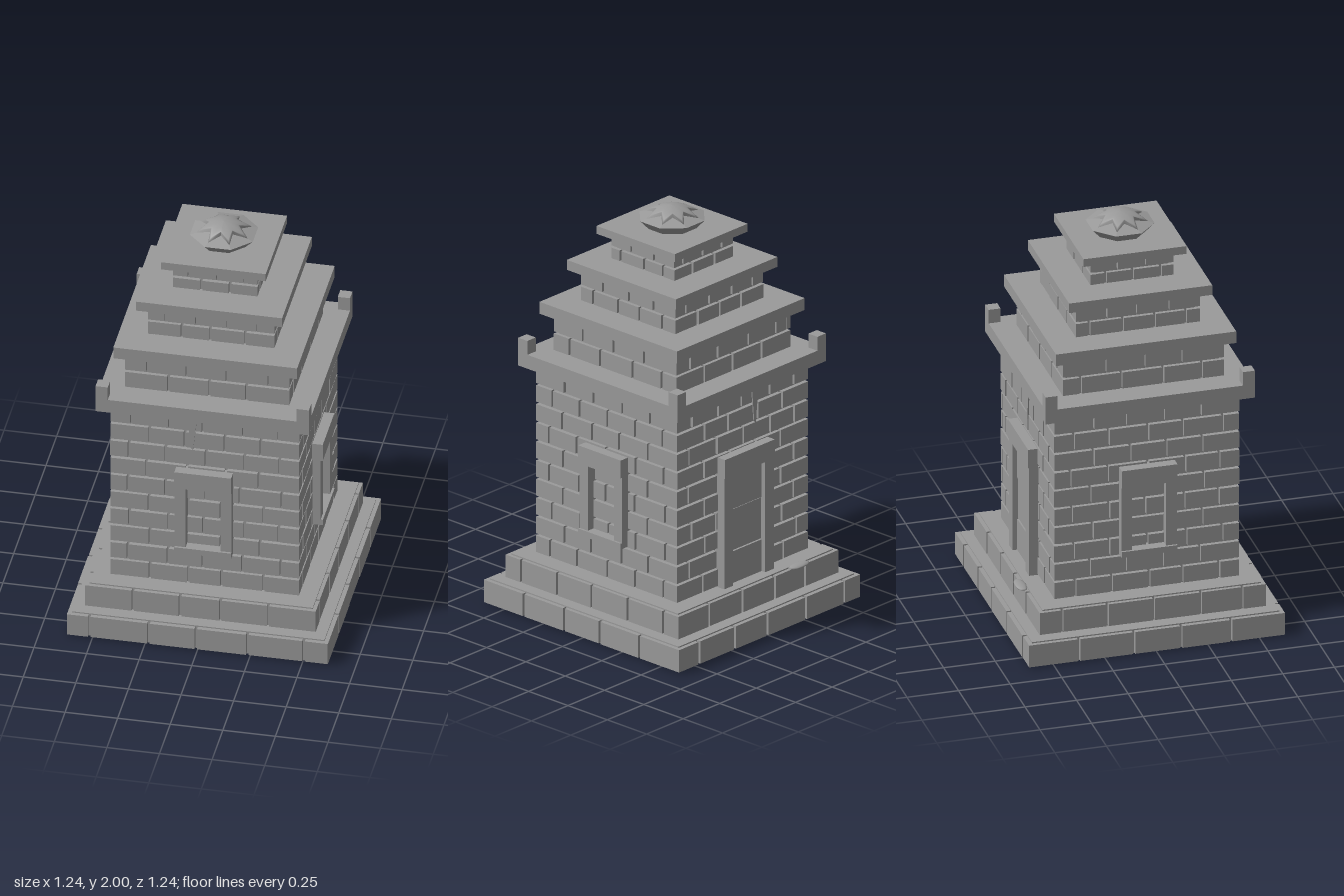
import * as THREE from 'three';
import { mergeGeometries } from 'three/addons/utils/BufferGeometryUtils.js';

const stone = new THREE.MeshStandardMaterial({ color: 0x9a9a9a });
stone.name = 'grey stone';

// small seeded generator for uneven masonry
let seed = 7;
const rnd = () => {
  seed = (seed * 16807) % 2147483647;
  return seed / 2147483647 - 0.5;
};

function add(parent, name, geometry) {
  const mesh = new THREE.Mesh(geometry, stone);
  mesh.name = name;
  parent.add(mesh);
  return mesh;
}

// box given by its limits
function span(x0, x1, y0, y1, z0, z1) {
  return new THREE.BoxGeometry(x1 - x0, y1 - y0, z1 - z0)
    .translate((x0 + x1) / 2, (y0 + y1) / 2, (z0 + z1) / 2);
}

// square block faced with courses of bricks on all four sides
function masonry(parent, name, half, y0, y1, rows, perRow, relief = 0.02, shift = 0) {
  const tier = new THREE.Group();
  tier.name = name;
  parent.add(tier);
  const core = half - relief;
  add(tier, name + 'Core', span(-core, core, y0, y1, -core, core));
  const gap = 0.006;
  const h = (y1 - y0) / rows;
  const length = (2 * half) / perRow;
  const bricks = [];
  for (let side = 0; side < 4; side++) {
    for (let row = 0; row < rows; row++) {
      const joints = [-half];
      const offset = (row + side + shift) % 2 ? 0.5 : 1;
      for (let x = -half + offset * length; x < half - 0.3 * length; x += length) {
        joints.push(x + rnd() * length * 0.15);
      }
      joints.push(half);
      for (let i = 0; i + 1 < joints.length; i++) {
        const a = joints[i] + (i ? gap : 0);
        const b = joints[i + 1] - (i + 2 < joints.length ? gap : 0);
        const out = half + rnd() * 0.003;
        const brick = span(a, b, y0 + row * h + gap, y0 + (row + 1) * h - gap, core - 0.01, out);
        bricks.push(brick.rotateY(side * Math.PI / 2));
      }
    }
  }
  add(tier, name + 'Bricks', mergeGeometries(bricks));
}

// framed blind window on the +z wall
function windowFrame(name) {
  const g = new THREE.Group();
  g.name = name;
  for (const s of [-1, 1]) {
    add(g, 'windowJamb', new THREE.BoxGeometry(0.052, 0.34, 0.06).translate(s * 0.109, 0.645, 0.457));
  }
  add(g, 'windowLintel', span(-0.135, 0.135, 0.81, 0.9, 0.43, 0.497));
  add(g, 'windowSill', span(-0.135, 0.135, 0.45, 0.48, 0.43, 0.498));
  return g;
}

// closed doorway with three stone slabs
function doorway() {
  const g = new THREE.Group();
  g.name = 'doorway';
  for (const s of [-1, 1]) {
    add(g, 'doorJamb', new THREE.BoxGeometry(0.06, 0.57, 0.06).translate(s * 0.14, 0.535, 0.46));
  }
  add(g, 'doorLintel', span(-0.17, 0.17, 0.81, 0.905, 0.43, 0.495));
  [[0.25, 0.41, 0.467], [0.415, 0.62, 0.462], [0.625, 0.81, 0.467]].forEach(([a, b, z]) => {
    add(g, 'doorSlab', span(-0.115, 0.115, a, b, 0.43, z));
  });
  add(g, 'doorBacking', span(-0.115, 0.115, 0.25, 0.81, 0.43, 0.456));
  return g;
}

// thin tapering crack hanging below the cornice
function crack(x) {
  const s = new THREE.Shape([
    new THREE.Vector2(x - 0.022, 1.19), new THREE.Vector2(x - 0.008, 1.03),
    new THREE.Vector2(x + 0.003, 1.015), new THREE.Vector2(x + 0.022, 1.19),
  ]);
  return new THREE.ExtrudeGeometry(s, { depth: 0.006, bevelEnabled: false }).translate(0, 0, 0.463);
}

// eight-pointed domed star
function starDome() {
  const R = 0.133;
  const profile = [[R, 1.945], [R, 1.95], [0.11, 0], [0.085, 0], [0.055, 0], [0.025, 0], [0, 2]];
  const geo = new THREE.LatheGeometry(profile.map(([r, y]) => new THREE.Vector2(r, y)), 16);
  const p = geo.attributes.position;
  for (let i = 0; i < p.count; i++) {
    const ring = i % profile.length;
    const valley = Math.floor(i / profile.length) % 2 === 0;
    const r = profile[ring][0];
    const k = valley ? 1 - 0.45 * (r / R) : 1;
    const y = ring === 0 ? 1.945 : 2 - 2.66 * (r * k) ** 2;
    p.setXYZ(i, p.getX(i) * k, y, p.getZ(i) * k);
  }
  geo.computeVertexNormals();
  return geo;
}

export function createModel() {
  const model = new THREE.Group();
  model.name = 'steppedTower';

  // stepped base and main body
  masonry(model, 'lowerStep', 0.62, 0, 0.125, 1, 5, 0.02, 1);
  masonry(model, 'upperStep', 0.548, 0.125, 0.25, 1, 5, 0.018);
  masonry(model, 'body', 0.448, 0.25, 1.2, 10, 5);

  // cornice with corner posts
  add(model, 'cornice', span(-0.507, 0.507, 1.2, 1.27, -0.507, 0.507));
  for (const x of [-1, 1]) {
    for (const z of [-1, 1]) {
      add(model, 'cornerPost', new THREE.BoxGeometry(0.058, 0.07, 0.058).translate(x * 0.478, 1.305, z * 0.478));
    }
  }

  // receding roof tiers, each with a slab
  [
    ['lowerTier', 0.39, 1.27, 1.46, 4, 0.437, 1.52],
    ['middleTier', 0.3, 1.52, 1.68, 4, 0.347, 1.73],
    ['topTier', 0.2, 1.73, 1.86, 3, 0.249, 1.9],
  ].forEach(([name, half, y0, y1, n, slab, top]) => {
    masonry(model, name, half, y0, y1, 2, n, 0.018);
    add(model, name + 'Slab', span(-slab, slab, y1, top, -slab, slab));
  });

  // openings: windows on three sides, door at the back
  [['frontWindow', 0], ['leftWindow', Math.PI / 2], ['rightWindow', -Math.PI / 2]].forEach(([name, turn]) => {
    const w = windowFrame(name);
    w.rotation.y = turn;
    model.add(w);
  });
  const door = doorway();
  door.rotation.y = Math.PI;
  model.add(door);

  // cracks and a fallen stone
  add(model, 'frontCrack', crack(-0.055));
  add(model, 'backCrack', crack(0.065).rotateY(Math.PI));
  const rubble = add(model, 'fallenStone', new THREE.IcosahedronGeometry(1, 1));
  rubble.scale.set(0.066, 0.009, 0.028);
  rubble.position.set(-0.265, 0.258, -0.56);

  // octagonal finial
  const octagon = (rTop, rBottom, y0, y1) =>
    new THREE.CylinderGeometry(rTop, rBottom, y1 - y0, 8, 1, false, Math.PI / 8)
      .toNonIndexed().translate(0, (y0 + y1) / 2, 0);
  const finial = new THREE.Group();
  finial.name = 'finial';
  const under = add(finial, 'finialBase', octagon(0.162, 0.12, 1.9, 1.945));
  const cap = add(finial, 'finialCap', octagon(0.06, 0.162, 1.945, 1.972));
  for (const m of [under, cap]) m.geometry.computeVertexNormals();
  add(finial, 'finialStar', starDome());
  model.add(finial);

  return model;
}
